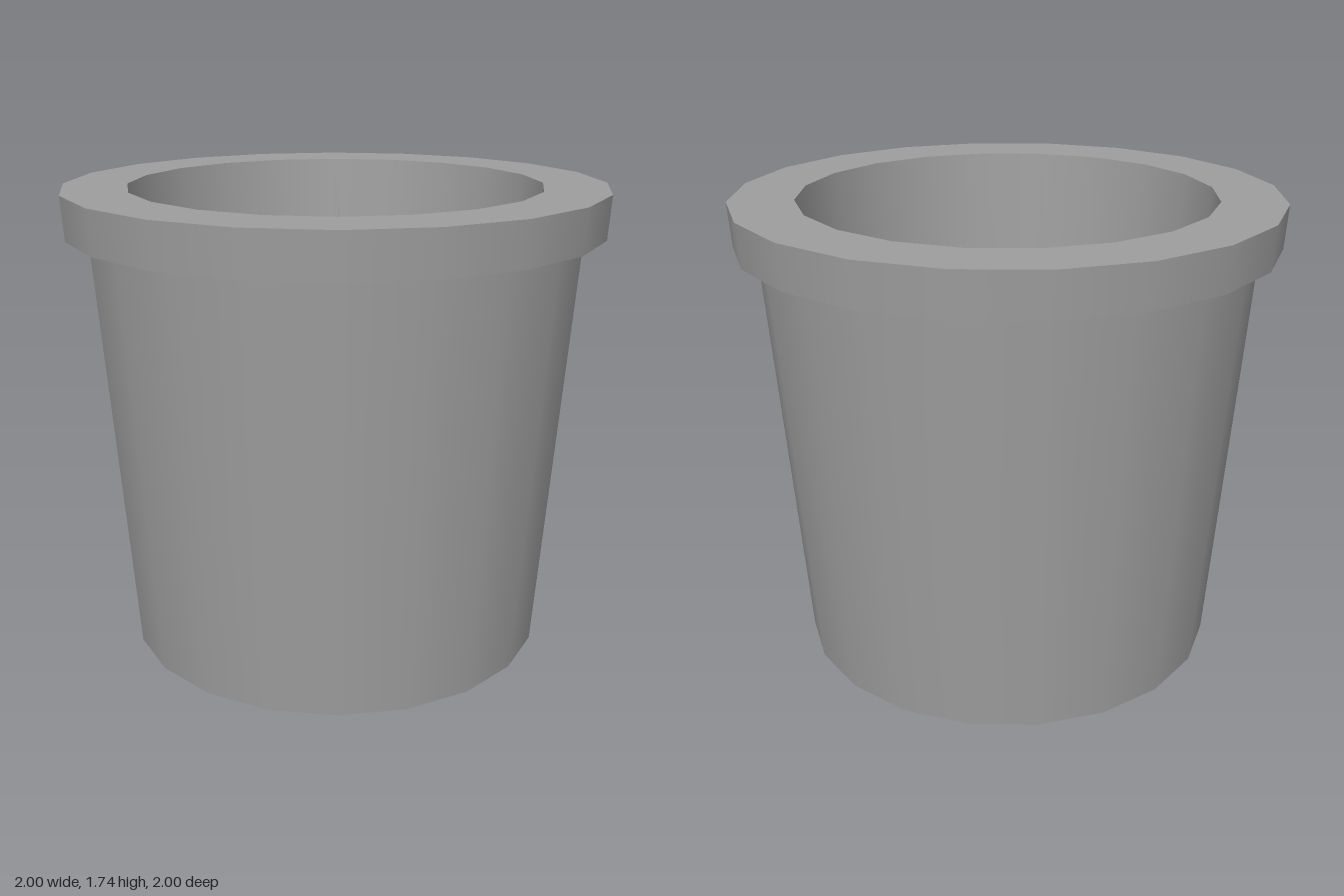
import * as THREE from 'three';
import { mergeGeometries } from 'three/addons/utils/BufferGeometryUtils.js';

const SIDES = 20;
const FLOOR_Y = 0.16;

// Each profile segment [r0, y0, r1, y1] is its own lathe band:
// smooth around the pot, with sharp edges between bands.
function bands(segments) {
  return segments.map(([r0, y0, r1, y1]) => {
    const band = new THREE.LatheGeometry([new THREE.Vector2(r0, y0), new THREE.Vector2(r1, y1)], SIDES);
    band.normalizeNormals();
    return band;
  });
}

// Flat disc facing up (1) or down (-1)
function disc(radius, y, facing) {
  return new THREE.CircleGeometry(radius, SIDES).rotateX(-facing * Math.PI / 2).translate(0, y, 0);
}

export function createModel() {
  const group = new THREE.Group();
  group.name = 'flowerPot';
  const material = new THREE.MeshStandardMaterial({ color: 0x9e9e9e });

  const add = (name, geometries) => {
    const mesh = new THREE.Mesh(mergeGeometries(geometries), material);
    mesh.name = name;
    group.add(mesh);
  };

  // Tapered outer wall and closed base
  add('body', [...bands([[0.795, 0, 0.91, 1.58]]), disc(0.795, 0, -1)]);

  // Overhanging collar: underside, outer face, top face
  add('rim', bands([
    [0.91, 1.58, 0.99, 1.58],
    [0.99, 1.58, 1.0, 1.74],
    [1.0, 1.74, 0.763, 1.74],
  ]));

  // Hollow interior and its floor
  add('interior', [...bands([[0.763, 1.74, 0.66, FLOOR_Y]]), disc(0.66, FLOOR_Y, 1)]);

  return group;
}
